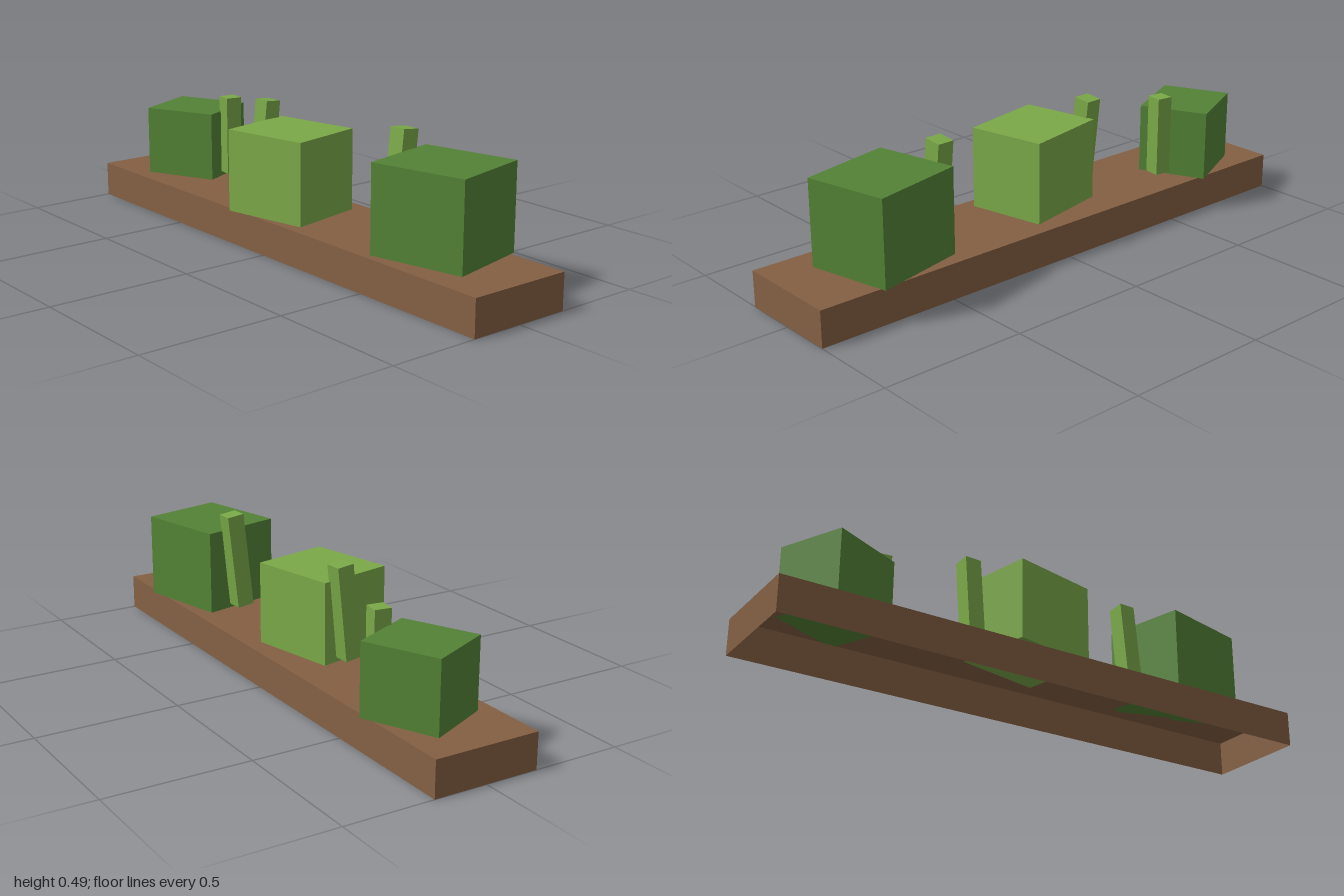
import * as THREE from 'three';

export function createModel() {
  const model = new THREE.Group();
  const brown = new THREE.MeshStandardMaterial({ name: 'brown planter', color: 0x845f43, side: THREE.DoubleSide });
  const darkGreen = new THREE.MeshStandardMaterial({ name: 'dark green', color: 0x538235 });
  const lightGreen = new THREE.MeshStandardMaterial({ name: 'light green', color: 0x7aa848 });

  const boardHeight = 0.125;

  // A block placed by its centre, leaned about x and turned about y
  function block(name, material, [w, h, d], [x, y, z], turn = 0, lean = 0) {
    const mesh = new THREE.Mesh(new THREE.BoxGeometry(w, h, d), material);
    mesh.name = name;
    mesh.position.set(x, y, z);
    mesh.rotation.set(lean, turn, 0, 'YXZ');
    model.add(mesh);
    return mesh;
  }

  // Planter: a hollow tray turned upside down, so the underside is left open
  const tray = block('planter', brown, [2, boardHeight, 0.375], [0, boardHeight / 2, 0]);
  const index = Array.from(tray.geometry.index.array);
  index.splice(18, 6); // the bottom face
  tray.geometry.setIndex(index);
  tray.geometry.clearGroups();

  // Bushes: width, height, depth, x, z, turn in degrees
  const bushes = [
    ['leftmostBush', darkGreen, 0.272, 0.247, 0.247, -0.711, -0.038, 25],
    ['middleBush', lightGreen, 0.316, 0.286, 0.279, -0.036, 0.039, 12],
    ['rightmostBush', darkGreen, 0.336, 0.298, 0.3, 0.647, -0.022, 13],
  ];
  for (const [name, material, w, h, d, x, z, turn] of bushes) {
    block(name, material, [w, h, d], [x, boardHeight + h / 2, z], THREE.MathUtils.degToRad(turn));
  }

  // Upright stems beside the bushes, two of them leaning back
  block('leftmostStem', lightGreen, [0.058, 0.285, 0.058], [-0.54, 0.285, -0.073], -0.13);
  block('middleStem', lightGreen, [0.061, 0.33, 0.061], [-0.235, 0.309, 0.001], 0.05, -0.11);
  block('rightmostStem', lightGreen, [0.061, 0.346, 0.064], [0.438, 0.316, -0.029], 0.03, -0.11);

  return model;
}
